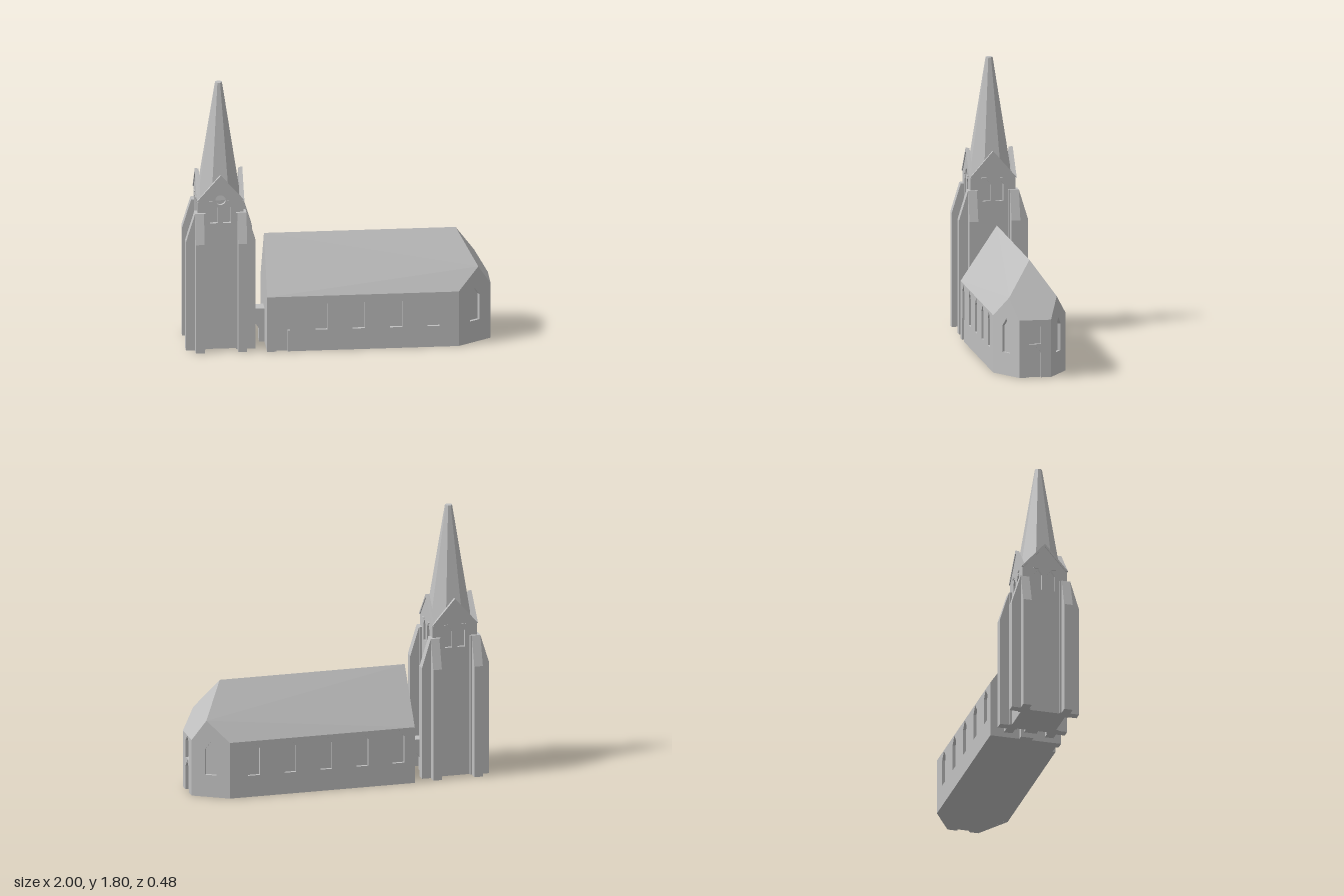
import * as THREE from 'three';
import { ConvexGeometry } from 'three/addons/geometries/ConvexGeometry.js';

const stone = new THREE.MeshStandardMaterial({ color: 0xc0c0c0 });
stone.name = 'grey stone';

const V = (x, y, z) => new THREE.Vector3(x, y, z);
const toPts = (list) => list.map(([x, y]) => new THREE.Vector2(x, y));

function add(parent, name, geometry) {
  const mesh = new THREE.Mesh(geometry, stone);
  mesh.name = name;
  parent.add(mesh);
  return mesh;
}

// Pointed opening, centred on x, from y0 to the springing y1 and the tip y2
const lancet = (x, w, y0, y1, y2) => [
  [x - w / 2, y0], [x - w / 2, y1], [x, y2], [x + w / 2, y1], [x + w / 2, y0],
];

// Upright slab with openings; its outer face lies at local z = 0
function slab(outline, holes, depth) {
  const shape = new THREE.Shape(toPts(outline));
  for (const h of holes) shape.holes.push(h instanceof THREE.Path ? h : new THREE.Path(toPts(h)));
  return new THREE.ExtrudeGeometry(shape, { depth, bevelEnabled: false, curveSegments: 10 })
    .translate(0, 0, -depth);
}

// Rectangular wall, with an optional doorway notch in its lower edge
const wallOutline = (w, h, notch = []) => [[-w / 2, 0], ...notch, [w / 2, 0], [w / 2, h], [-w / 2, h]];

function createNave() {
  const nave = new THREE.Group();
  nave.name = 'nave';
  const eave = 0.38, t = 0.02, mid = 0.1525, len = 1.255;

  // Solid core behind the walls closes the window recesses
  const core = [];
  for (const y of [0, eave]) for (const s of [1, -1]) {
    core.push(V(-0.455, y, 0.22 * s), V(0.774, y, 0.22 * s), V(0.98, y, 0.094 * s));
  }
  add(nave, 'naveCore', new ConvexGeometry(core));

  // Steep roof with a hipped east end and small gables over the slanted walls
  const roof = [V(-0.475, 0.74, 0), V(0.78, 0.74, 0)];
  for (const s of [1, -1]) {
    roof.push(V(-0.475, eave, 0.24 * s), V(0.78, eave, 0.24 * s),
      V(1, eave, 0.105 * s), V(0.915, 0.519, 0.157 * s));
  }
  add(nave, 'naveRoof', new ConvexGeometry(roof));

  // Long walls; the front one has a doorway under its first window
  const doorway = [[-0.415, 0], [-0.415, 0.145], [-0.405, 0.145], [-0.405, 0.325], [-0.365, 0.375],
    [-0.325, 0.325], [-0.325, 0.145], [-0.34, 0.145], [-0.34, 0]].map(([x, y]) => [x - mid, y]);
  for (const s of [1, -1]) {
    const windows = [];
    for (let i = s > 0 ? 1 : 0; i < 5; i++) {
      windows.push(lancet(s * (-0.365 + 0.245 * i - mid), 0.08, 0.145, 0.325, 0.375));
    }
    const wall = add(nave, s > 0 ? 'frontWall' : 'backWall',
      slab(wallOutline(len, eave, s > 0 ? doorway : []), windows, t));
    wall.position.set(mid, 0, 0.24 * s);
    wall.rotation.y = s > 0 ? 0 : Math.PI;

    // Slanted apse wall
    const angle = Math.atan2(0.135, 0.22);
    const slant = add(nave, 'apseSlantedWall', slab(wallOutline(Math.hypot(0.135, 0.22), eave),
      [lancet(0, 0.076, 0.15, 0.325, 0.375)], t));
    slant.position.set(0.89, 0, 0.1725 * s);
    slant.rotation.y = s > 0 ? angle : Math.PI - angle;
  }

  // Apse end wall with a door below a window
  const end = add(nave, 'apseEndWall', slab(wallOutline(0.21, eave, lancet(0, 0.08, 0, 0.16, 0.21)),
    [lancet(0, 0.08, 0.22, 0.335, 0.376)], t));
  end.position.x = 1;
  end.rotation.y = Math.PI / 2;

  const west = add(nave, 'westWall', slab(wallOutline(0.48, eave), [], t));
  west.position.x = -0.475;
  west.rotation.y = -Math.PI / 2;
  return nave;
}

function createTower() {
  const tower = new THREE.Group();
  tower.name = 'tower';
  const half = 0.15, top = 1.03;

  add(tower, 'towerCore', new THREE.BoxGeometry(0.26, top, 0.26).translate(0, top / 2, 0));

  for (let i = 0; i < 4; i++) {
    const side = new THREE.Group();
    side.name = 'towerSide';
    side.rotation.y = i * Math.PI / 2;
    tower.add(side);

    // Gabled wall with twin belfry windows
    const openings = [-1, 1].map((s) => lancet(s * 0.043, 0.05, 0.875, 0.985, 1.022));
    if (i === 0) openings.push(new THREE.Path().absarc(0, 1.035, 0.034, 0, Math.PI * 2));
    add(side, 'gabledWall', slab(
      [[-half, 0], [half, 0], [half, top], [0, 1.205], [-half, top]], openings, 0.02,
    )).position.z = half;

    for (const s of [-1, 1]) {
      // Raised coping along the gable slope
      const coping = slab([[0, 1.207], [s * 0.157, 1.028], [s * 0.14, 1.028], [0, 1.188]], [], 0.014);
      add(side, 'gableCoping', coping).position.z = half + 0.006;

      // Small ledge over the windows
      add(side, 'ledge', new THREE.BoxGeometry(0.03, 0.008, 0.008))
        .position.set(s * 0.06, 1.028, half + 0.003);

      // Buttress with a sloping shoulder, its profile swung to face outwards
      const profile = new THREE.Shape(toPts([[0.1, 0], [0.228, 0], [0.228, 0.755], [0.168, 0.95], [0.1, 0.95]]));
      const buttress = new THREE.ExtrudeGeometry(profile, { depth: 0.058, bevelEnabled: false })
        .translate(0, 0, -0.029).rotateY(-Math.PI / 2);
      add(side, 'buttress', buttress).position.x = s * 0.139;
    }
  }

  // Eight-sided spire with a blunt tip
  const c = Math.cos(Math.PI / 8);
  const spire = new THREE.CylinderGeometry(0.022 / c, 0.1385 / c, 0.775, 8)
    .rotateY(Math.PI / 8).toNonIndexed();
  spire.computeVertexNormals();
  add(tower, 'spire', spire).position.y = top + 0.775 / 2;

  tower.position.x = -0.7725;
  return tower;
}

export function createModel() {
  const church = new THREE.Group();
  church.name = 'church';
  church.add(createNave(), createTower());

  // Arched passage between tower and nave
  add(church, 'passage', slab([[-0.63, 0], [-0.58, 0], [-0.58, 0.09], [-0.545, 0.14], [-0.51, 0.09],
    [-0.51, 0], [-0.47, 0], [-0.47, 0.23], [-0.63, 0.23]], [], 0.085)).position.z = 0.0425;
  return church;
}
